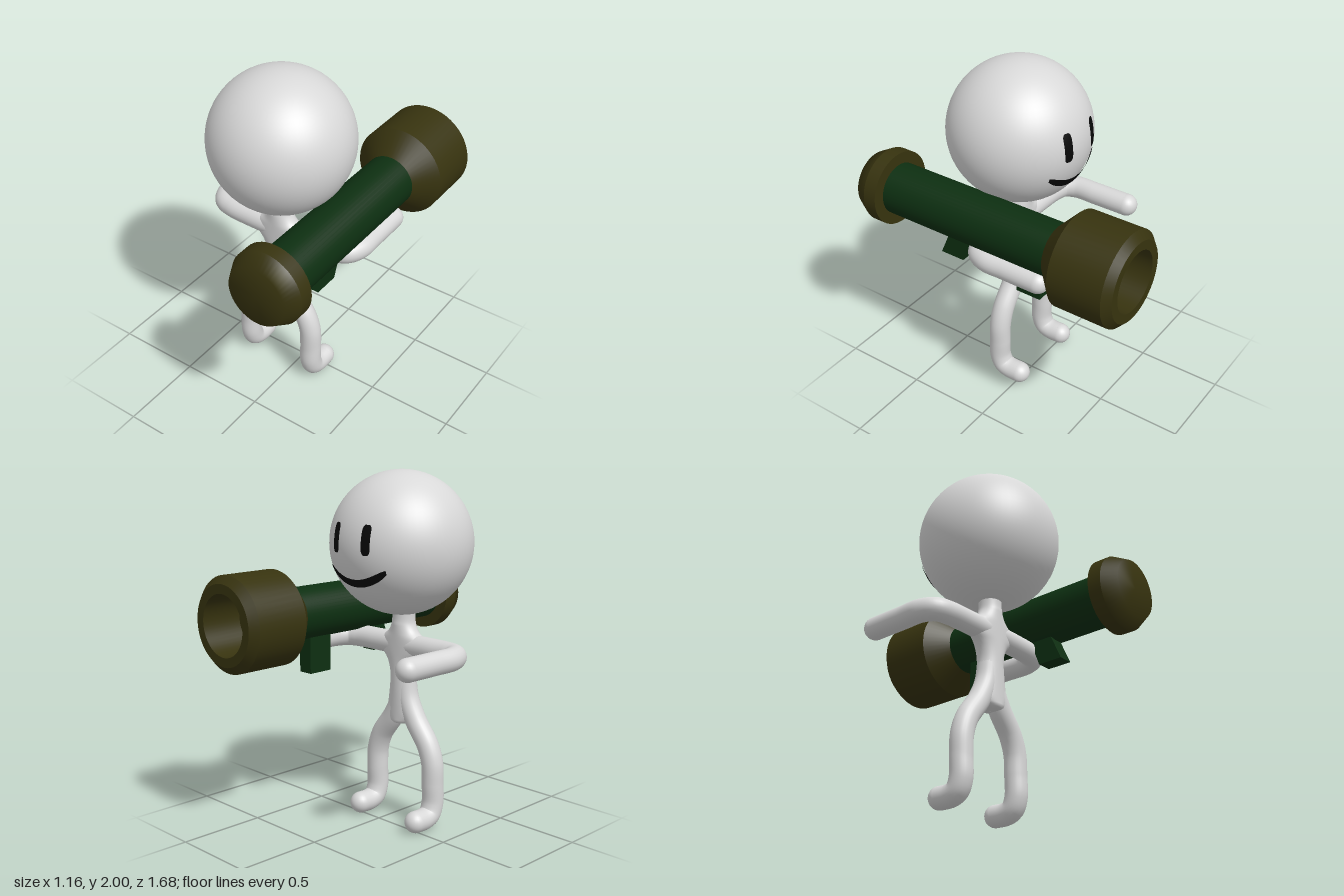
import * as THREE from 'three';
import { mergeVertices } from 'three/addons/utils/BufferGeometryUtils.js';

const mat = (name, color, side = THREE.FrontSide) => {
  const m = new THREE.MeshStandardMaterial({ color, side });
  m.name = name;
  return m;
};

export function createModel() {
  const white = mat('white skin', 0xd8d8d8);
  const black = mat('black face', 0x080808, THREE.DoubleSide);
  const olive = mat('olive metal', 0x37330f);
  const green = mat('dark green', 0x0d2f11);

  const root = new THREE.Group();
  root.name = 'figureWithLauncher';
  const figure = new THREE.Group();
  figure.name = 'figure';
  const launcher = new THREE.Group();
  launcher.name = 'launcher';
  root.add(figure, launcher);

  const add = (parent, name, geometry, material) => {
    const mesh = new THREE.Mesh(geometry, material);
    mesh.name = name;
    parent.add(mesh);
    return mesh;
  };

  // Head
  const head = new THREE.Vector3(-0.06, 1.6, 0.118), headR = 0.4;
  add(figure, 'head', new THREE.SphereGeometry(headR, 64, 40), white).position.copy(head);

  // Torso and neck: a lathe flattened to constant depth, flaring into hips and shoulders
  const profile = [[0.004, 0.565], [0.06, 0.575], [0.105, 0.62], [0.1, 0.68], [0.087, 0.76], [0.079, 0.84],
    [0.09, 0.9], [0.115, 0.945], [0.155, 0.985], [0.17, 1.025], [0.15, 1.065], [0.1, 1.1],
    [0.072, 1.14], [0.065, 1.18], [0.068, 1.25]].map(([x, y]) => new THREE.Vector2(x, y));
  let torso = new THREE.LatheGeometry(new THREE.SplineCurve(profile).getPoints(56), 40);
  const tp = torso.attributes.position;
  for (let i = 0; i < tp.count; i++) {
    const r = Math.hypot(tp.getX(i), tp.getZ(i));
    if (r > 0.068) tp.setZ(i, tp.getZ(i) * 0.068 / r);
  }
  torso.deleteAttribute('uv');
  torso.deleteAttribute('normal');
  torso = mergeVertices(torso, 1e-5);
  torso.computeVertexNormals();
  add(figure, 'torso', torso, white).position.set(-0.068, 0, 0.13);

  // Limbs: round tubes with a ball at the free end
  const limb = (name, pts, r) => {
    const path = pts.map(p => new THREE.Vector3(...p));
    const group = new THREE.Group();
    group.name = name;
    figure.add(group);
    add(group, name + 'Tube', new THREE.TubeGeometry(new THREE.CatmullRomCurve3(path), 64, r, 24), white);
    add(group, name + 'End', new THREE.SphereGeometry(r, 24, 16), white).position.copy(path[path.length - 1]);
  };
  for (const [side, s] of [['left', 1], ['right', -1]]) {
    const ax = d => -0.065 + s * d, lx = d => -0.08 + s * d;
    limb(side + 'Arm', [[ax(0), 1.025, 0.13], [ax(0.2), 1.025, 0.13], [ax(0.34), 1.025, 0.123],
      [ax(0.41), 1.025, 0.1], [ax(0.448), 1.025, 0.03], [ax(0.45), 1.025, -0.1], [ax(0.45), 1.025, -0.308]], 0.064);
    limb(side + 'Leg', [[lx(0), 0.86, 0.13], [lx(0.025), 0.72, 0.13], [lx(0.085), 0.6, 0.13],
      [lx(0.18), 0.47, 0.13], [lx(0.215), 0.37, 0.13], [lx(0.22), 0.25, 0.13], [lx(0.22), 0.14, 0.13],
      [lx(0.22), 0.08, 0.105], [lx(0.22), 0.062, 0.06], [lx(0.22), 0.062, -0.01]], 0.062);
  }

  // Face: thin strokes wrapped onto the head; at(t) gives the stroke centre line for t in -1..1
  const stroke = (name, at, half, vertical) => {
    const g = new THREE.PlaneGeometry(2, 2, 24, 4), p = g.attributes.position;
    for (let i = 0; i < p.count; i++) {
      const t = p.getX(i);
      const w = p.getY(i) * half * (1 - 0.5 * Math.pow(Math.abs(t), 8));
      let [x, y] = at(t);
      if (vertical) x += w; else y += w;
      const z = -Math.sqrt((headR + 0.005) ** 2 - x * x - y * y);
      p.setXYZ(i, x, y, z);
    }
    g.computeVertexNormals();
    add(figure, name, g, black).position.copy(head);
  };
  stroke('leftEye', t => [0.11, 0.05 + 0.08 * t], 0.026, true);
  stroke('rightEye', t => [-0.11, 0.05 + 0.08 * t], 0.026, true);
  stroke('mouth', t => [0.205 * t, -0.19 + 0.075 * t * t], 0.022, false);

  // Launcher: turned parts along z; each profile is smooth within itself
  const axis = new THREE.Vector3(0.312, 1.21, 0);
  const turned = (name, pts, material) => {
    const g = new THREE.LatheGeometry(pts.map(p => new THREE.Vector2(...p)), 48);
    g.rotateX(Math.PI / 2);
    add(launcher, name, g, material).position.copy(axis);
  };
  const faceted = (name, pts, material) => {
    for (let i = 0; i + 1 < pts.length; i++) turned(name + (i + 1), [pts[i], pts[i + 1]], material);
  };
  turned('barrel', [[0.148, -0.4], [0.148, 0.7]], green);
  faceted('muzzle', [[0, -0.6], [0.17, -0.6], [0.17, -0.84], [0.222, -0.84], [0.265, -0.8],
    [0.265, -0.49], [0.148, -0.38]], olive);
  faceted('rearCollar', [[0.148, 0.675], [0.214, 0.675], [0.214, 0.755]], olive);
  turned('rearCap', [[0.214, 0.755], [0.168, 0.84], [0, 0.84]], olive);

  // Grips: side outlines in (z, y), extruded across x
  const grip = (name, outline, right) => {
    const shape = new THREE.Shape(outline.map(p => new THREE.Vector2(...p)));
    const g = new THREE.ExtrudeGeometry(shape, { depth: 0.09, bevelEnabled: false });
    g.rotateY(-Math.PI / 2);
    add(launcher, name, g, green).position.x = right;
  };
  grip('rearGrip', [[0.215, 0.925], [0.365, 0.925], [0.29, 1.1], [0.15, 1.1]], 0.35);
  grip('frontGrip', [[-0.29, 0.868], [-0.14, 0.868], [-0.14, 1.1], [-0.29, 1.1]], 0.34);

  return root;
}
